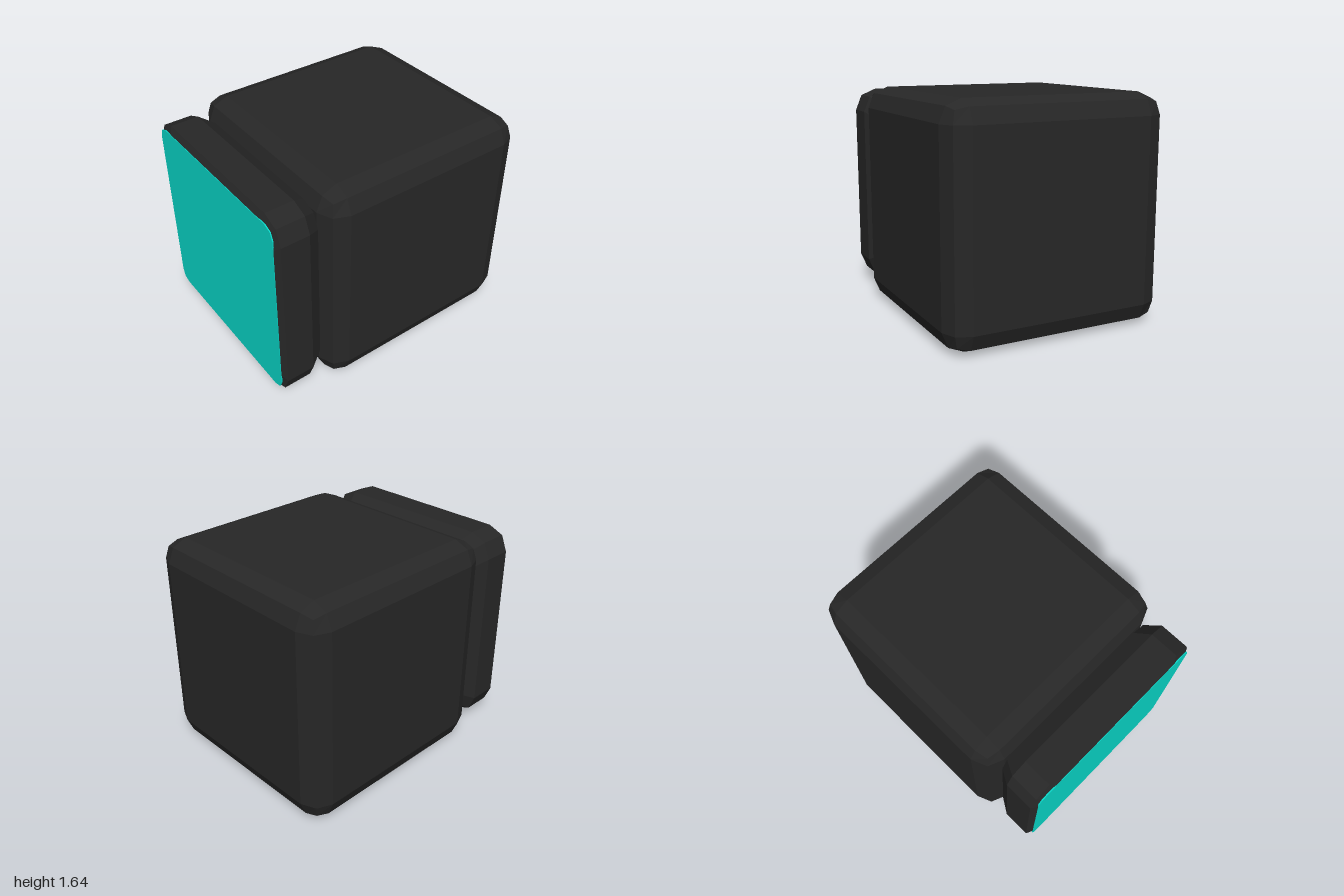
import * as THREE from 'three';
import { RoundedBoxGeometry } from 'three/addons/geometries/RoundedBoxGeometry.js';

// Square outline with two-facet rounded corners, as [z, y] points
function roundedSquare(half, radius) {
  const points = [];
  const c = half - radius;
  [[1, 1], [-1, 1], [-1, -1], [1, -1]].forEach(([sz, sy], corner) => {
    for (let i = 0; i < 3; i++) {
      const a = (corner + i / 2) * Math.PI / 2;
      points.push([sz * c + Math.cos(a) * radius, sy * c + Math.sin(a) * radius]);
    }
  });
  return points;
}

// Closed solid from an outline scaled at [x, scale] sections along x
function loft(outline, sections) {
  const rings = sections.map(([x, s]) => outline.map(([z, y]) => [x, y * s, z * s]));
  const last = rings.length - 1;
  const positions = [];
  for (let j = 0; j < outline.length; j++) {
    const k = (j + 1) % outline.length;
    for (let i = 0; i < last; i++) {
      const a = rings[i][j], b = rings[i + 1][j], c = rings[i + 1][k], d = rings[i][k];
      positions.push(...a, ...b, ...c, ...a, ...c, ...d);
    }
    positions.push(sections[0][0], 0, 0, ...rings[0][j], ...rings[0][k]);
    positions.push(sections[last][0], 0, 0, ...rings[last][k], ...rings[last][j]);
  }
  const geometry = new THREE.BufferGeometry();
  geometry.setAttribute('position', new THREE.Float32BufferAttribute(positions, 3));
  geometry.computeVertexNormals();
  return geometry;
}

export function createModel() {
  const model = new THREE.Group();
  const charcoal = new THREE.MeshStandardMaterial({ color: 0x272727 });
  const teal = new THREE.MeshStandardMaterial({ color: 0x08d9ca });
  charcoal.name = 'charcoal';
  teal.name = 'teal';
  charcoal.flatShading = teal.flatShading = true;

  const add = (name, geometry, material, x, y) => {
    const mesh = new THREE.Mesh(geometry, material);
    mesh.name = name;
    mesh.position.set(x, y, 0);
    model.add(mesh);
    return mesh;
  };

  // Main block with two-facet bevels
  add('body', new RoundedBoxGeometry(1.64, 1.64, 1.64, 1, 0.155), charcoal, 0.18, 0.82);

  // Round joint between the body and the side panel
  const joint = add('joint', new THREE.CylinderGeometry(0.24, 0.24, 0.08, 32), charcoal, -0.645, 0.83);
  joint.rotation.z = Math.PI / 2;

  // Side panel, bevelled on both faces
  const panel = loft(roundedSquare(0.767, 0.165), [[-0.997, 0.94], [-0.97, 1], [-0.76, 1], [-0.655, 0.915]]);
  add('sidePanel', panel, charcoal, 0, 0.83);

  // Thin coloured plate on the panel's outer face, with tighter corners
  const plate = loft(roundedSquare(0.722, 0.08), [[-1, 1], [-0.992, 1]]);
  add('panelFace', plate, teal, 0, 0.83);

  return model;
}
